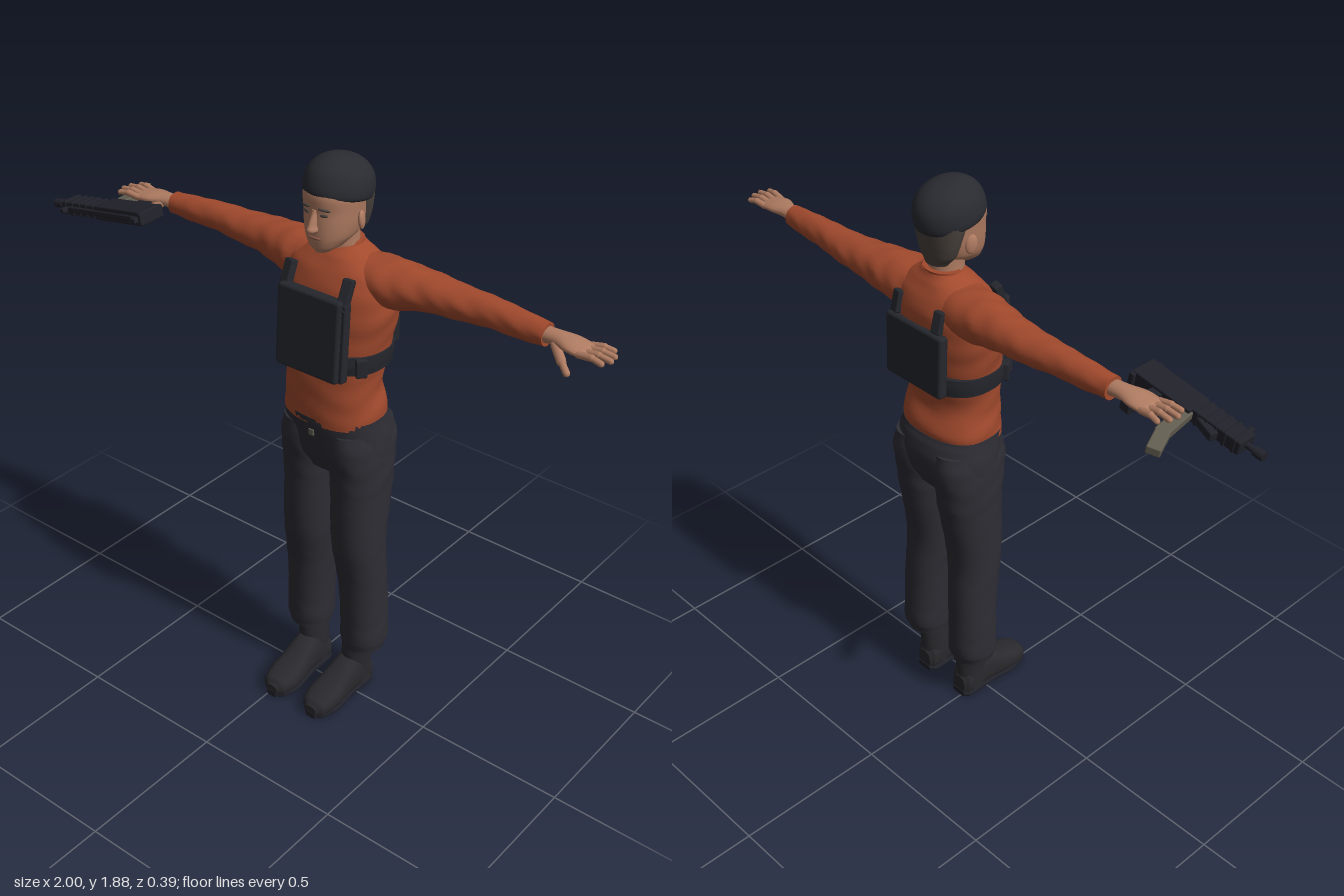
import * as THREE from 'three';
import { RoundedBoxGeometry } from 'three/addons/geometries/RoundedBoxGeometry.js';

const mat = (name, color) => Object.assign(new THREE.MeshStandardMaterial({ color }), { name });

// Smooth closed body through oval rings [t, c1, c2, r1, r2] along an axis.
function loft(axis, rings, { p = 2, n = 28, sub = 5, fold = 0 } = {}) {
  const pos = [], idx = [], rows = [];
  const at = (i) => rings[Math.max(0, Math.min(rings.length - 1, i))];
  for (let i = 0; i < rings.length - 1; i++)
    for (let k = 0; k < sub + (i === rings.length - 2 ? 1 : 0); k++) {
      const f = k / sub;
      rows.push(at(i).map((b, d) => {
        const a = at(i - 1)[d], c = at(i + 1)[d], e = at(i + 2)[d];
        if (d === 0) return b + (c - b) * f;
        return b + 0.5 * f * (c - a + f * (2 * a - 5 * b + 4 * c - e + f * (3 * (b - c) + e - a)));
      }));
    }
  const place = (t, u, v) => axis === 'y' ? [u, t, v] : axis === 'x' ? [t, u, v] : [u, v, t];
  const ringPoints = ([t, c1, c2, r1, r2]) => {
    for (let j = 0; j < n; j++) {
      const a = j / n * Math.PI * 2;
      let c = Math.cos(a), s = Math.sin(a);
      if (axis !== 'y') [c, s] = [s, c];
      const pw = (x) => Math.sign(x) * Math.abs(x) ** (2 / p);
      const w = 1 + fold * (Math.sin(t * 75 + 3 * Math.sin(a * 2)) + 0.6 * Math.sin(a * 5 + t * 31));
      pos.push(...place(t, c1 + r1 * pw(c) * w, c2 + r2 * pw(s) * w));
    }
  };
  const flip = rings[rings.length - 1][0] < rings[0][0];
  const tri = (a, b, c) => flip ? idx.push(a, c, b) : idx.push(a, b, c);
  rows.forEach(ringPoints);
  for (let i = 0; i < rows.length - 1; i++)
    for (let j = 0; j < n; j++) {
      const a = i * n + j, b = i * n + (j + 1) % n;
      tri(a, a + n, b);
      tri(b, a + n, b + n);
    }
  // end caps with their own vertices
  [rows[0], rows[rows.length - 1]].forEach((r, e) => {
    const base = pos.length / 3;
    ringPoints(r);
    pos.push(...place(r[0], r[1], r[2]));
    for (let j = 0; j < n; j++) {
      const a = base + j, b = base + (j + 1) % n;
      e ? tri(base + n, b, a) : tri(base + n, a, b);
    }
  });
  const g = new THREE.BufferGeometry();
  g.setAttribute('position', new THREE.Float32BufferAttribute(pos, 3));
  g.setIndex(idx);
  g.computeVertexNormals();
  return g;
}

export function createModel() {
  const skin = mat('skin', 0xb07c62), lip = mat('lip', 0x8a5546), hair = mat('hair', 0x4a423d);
  const shirt = mat('rustShirt', 0xa24a2d), trousers = mat('trouserCloth', 0x2d2d34);
  const vest = mat('vestFabric', 0x25272d), boot = mat('bootLeather', 0x2a2a2e);
  const wool = mat('capWool', 0x2a2b31), metal = mat('gunMetal', 0x21212a), olive = mat('olive', 0x625d50);

  const model = new THREE.Group();
  const body = new THREE.Group();
  body.name = 'body';
  body.position.x = 0.1;
  const gun = new THREE.Group();
  gun.name = 'gun';
  model.add(body, gun);
  const add = (parent, name, geo, m, p = [0, 0, 0], r = [0, 0, 0], s = [1, 1, 1]) => {
    const o = new THREE.Mesh(geo, m);
    o.name = name;
    o.position.set(...p);
    o.rotation.set(...r);
    o.scale.set(...s);
    parent.add(o);
    return o;
  };
  const rbox = (w, h, d, r = 0.005) => new RoundedBoxGeometry(w, h, d, 2, r);
  const ball = new THREE.SphereGeometry(1, 16, 12);
  const finger = (name, a, b, r) => {
    const A = new THREE.Vector3(...a), B = new THREE.Vector3(...b), d = B.clone().sub(A);
    const o = add(body, name, new THREE.CapsuleGeometry(r, d.length(), 4, 8), skin);
    o.position.copy(A).add(B).multiplyScalar(0.5);
    o.quaternion.setFromUnitVectors(new THREE.Vector3(0, 1, 0), d.normalize());
  };

  // Shirt and trouser seat
  add(body, 'torso', loft('y', [
    [1.055, 0, -0.027, 0.163, 0.122], [1.10, 0, -0.03, 0.163, 0.126], [1.17, 0, -0.018, 0.154, 0.114],
    [1.25, 0, -0.025, 0.161, 0.117], [1.35, 0, -0.035, 0.178, 0.122], [1.43, 0, -0.04, 0.193, 0.124],
    [1.50, 0, -0.047, 0.188, 0.118], [1.55, 0, -0.05, 0.165, 0.1], [1.59, 0, -0.052, 0.105, 0.076],
    [1.615, 0, -0.055, 0.064, 0.058]], { p: 2.3, n: 48, fold: 0.008 }), shirt);
  add(body, 'trouserSeat', loft('y', [
    [0.87, 0, -0.045, 0.165, 0.088], [0.93, 0, -0.045, 0.178, 0.118], [1.0, 0, -0.045, 0.176, 0.13],
    [1.05, 0, -0.036, 0.168, 0.13], [1.075, 0, -0.03, 0.165, 0.125]], { p: 2.3, n: 40 }), trousers);
  add(body, 'trouserButton', rbox(0.02, 0.022, 0.008, 0.003), olive, [0, 1.025, 0.091]);

  for (const s of [1, -1]) {
    // Arms
    add(body, 'sleeve', loft('x', [
      [0.08, 1.515, -0.06, 0.078, 0.09], [0.17, 1.52, -0.065, 0.076, 0.085], [0.22, 1.523, -0.07, 0.07, 0.077],
      [0.3, 1.527, -0.078, 0.058, 0.066], [0.4, 1.527, -0.08, 0.05, 0.058], [0.5, 1.53, -0.079, 0.045, 0.046],
      [0.6, 1.528, -0.075, 0.041, 0.041], [0.685, 1.527, -0.072, 0.035, 0.034]]
      .map(([t, ...r]) => [t * s, ...r]), { fold: 0.02 }), shirt);
    // Hands
    add(body, 'palm', loft('x', [
      [0.67, 1.527, -0.07, 0.024, 0.027], [0.72, 1.531, -0.068, 0.02, 0.03], [0.765, 1.53, -0.064, 0.018, 0.043],
      [0.81, 1.526, -0.062, 0.014, 0.043], [0.825, 1.526, -0.062, 0.008, 0.037]]
      .map(([t, ...r]) => [t * s, ...r]), { n: 18 }), skin);
    [0.868, 0.886, 0.89, 0.878].forEach((tip, i) => {
      const z = -0.096 + i * 0.0225, zt = -0.105 + i * 0.028, mid = (0.815 + tip) / 2;
      finger('finger', [s * 0.805, 1.526, z], [s * mid, 1.532, (z + zt) / 2], 0.0105);
      finger('fingertip', [s * mid, 1.532, (z + zt) / 2], [s * tip, 1.527, zt], 0.009);
    });
    finger('thumbBase', [s * 0.725, 1.521, -0.045], [s * 0.765, 1.497, -0.014], 0.014);
    finger('thumbTip', [s * 0.765, 1.497, -0.014], [s * 0.795, 1.481, 0.007], 0.01);

    // Legs
    add(body, 'trouserLeg', loft('y', [
      [0.18, 0.11, -0.05, 0.068, 0.07], [0.215, 0.111, -0.053, 0.075, 0.079], [0.3, 0.11, -0.052, 0.075, 0.079],
      [0.45, 0.105, -0.045, 0.077, 0.08], [0.6, 0.097, -0.03, 0.084, 0.087], [0.8, 0.093, -0.043, 0.087, 0.106],
      [0.88, 0.092, -0.045, 0.089, 0.115], [0.97, 0.09, -0.045, 0.086, 0.13], [1.03, 0.085, -0.042, 0.08, 0.122]]
      .map(([t, c, ...r]) => [t, c * s, ...r]), { p: 2.2, n: 32, fold: 0.01 }), trousers);
    // Boots
    add(body, 'bootShaft', loft('y', [
      [0.03, 0.09, -0.042, 0.046, 0.05], [0.12, 0.09, -0.04, 0.047, 0.054], [0.25, 0.1, -0.042, 0.052, 0.055]]
      .map(([t, c, ...r]) => [t, c * s, ...r])), boot);
    add(body, 'bootFoot', loft('z', [
      [-0.095, 0.088, 0.042, 0.027, 0.036], [-0.08, 0.088, 0.052, 0.042, 0.05], [-0.02, 0.088, 0.073, 0.046, 0.071],
      [0.03, 0.086, 0.066, 0.048, 0.064], [0.09, 0.084, 0.049, 0.054, 0.047], [0.14, 0.083, 0.04, 0.055, 0.037],
      [0.18, 0.083, 0.033, 0.042, 0.029], [0.196, 0.083, 0.028, 0.022, 0.017]]
      .map(([t, c, ...r]) => [t, c * s, ...r]), { p: 2.6 }), boot);
    add(body, 'bootSole', loft('z', [
      [-0.097, 0.088, 0.01, 0.028, 0.01], [-0.08, 0.088, 0.01, 0.043, 0.01], [0.02, 0.086, 0.01, 0.044, 0.01],
      [0.12, 0.083, 0.01, 0.056, 0.01], [0.175, 0.083, 0.01, 0.042, 0.01], [0.197, 0.083, 0.01, 0.018, 0.01]]
      .map(([t, c, ...r]) => [t, c * s, ...r]), { p: 4 }), metal);

    // Paired face parts
    add(body, 'ear', ball, skin, [s * 0.086, 1.707, -0.025], [0.15, s * 0.35, 0], [0.009, 0.03, 0.019]);
    add(body, 'eye', ball, hair, [s * 0.031, 1.737, 0.077], [0, s * 0.3, 0], [0.012, 0.005, 0.004]);
    add(body, 'brow', ball, hair, [s * 0.032, 1.754, 0.077], [0, s * 0.3, -s * 0.08], [0.019, 0.0045, 0.005]);

    // Paired vest parts
    add(body, 'frontStrap', rbox(0.034, 0.1, 0.026), vest, [s * 0.106, 1.51, 0.07], [-0.4, s * 0.2, 0]);
    add(body, 'panelEdge', rbox(0.014, 0.25, 0.03), vest, [s * 0.118, 1.365, 0.087], [-0.06, 0, 0]);
    add(body, 'backStrap', rbox(0.032, 0.07, 0.024), vest, [s * 0.088, 1.505, -0.158], [0.25, s * -0.15, 0]);
    add(body, 'beltBuckle', rbox(0.035, 0.06, 0.025), vest, [s * 0.152, 1.283, 0.05], [0, s * 0.85, 0]);
  }

  // Vest
  add(body, 'frontPanel', rbox(0.226, 0.262, 0.038, 0.01), vest, [0, 1.37, 0.098], [-0.06, 0, 0]);
  add(body, 'backPanel', rbox(0.24, 0.205, 0.034, 0.01), vest, [0, 1.365, -0.168], [0.04, 0, 0]);
  add(body, 'vestBelt', loft('y', [[1.253, 0, -0.032, 0.17, 0.132], [1.283, 0, -0.032, 0.174, 0.136],
    [1.313, 0, -0.033, 0.175, 0.134]], { p: 2.4, n: 48 }), vest);

  // Head
  add(body, 'neck', loft('y', [[1.54, 0, -0.05, 0.062, 0.058], [1.61, 0, -0.045, 0.054, 0.054],
    [1.69, 0, -0.04, 0.056, 0.06]]), skin);
  add(body, 'collar', loft('y', [[1.565, 0, -0.05, 0.085, 0.07], [1.6, 0, -0.054, 0.066, 0.058],
    [1.622, 0, -0.064, 0.06, 0.05]]), shirt);
  add(body, 'head', loft('y', [
    [1.613, 0, 0.038, 0.022, 0.028], [1.63, 0, 0.022, 0.046, 0.055], [1.66, 0, -0.003, 0.068, 0.086],
    [1.70, 0, -0.015, 0.079, 0.099], [1.74, 0, -0.02, 0.084, 0.102], [1.79, 0, -0.022, 0.087, 0.106],
    [1.84, 0, -0.022, 0.07, 0.085]], { p: 2.2, n: 36 }), skin);
  add(body, 'nose', loft('y', [[1.682, 0, 0.083, 0.011, 0.008], [1.69, 0, 0.086, 0.016, 0.024],
    [1.705, 0, 0.083, 0.012, 0.023], [1.75, 0, 0.076, 0.009, 0.01]], { n: 16 }), skin);
  add(body, 'mouth', ball, lip, [0, 1.664, 0.081], [0, 0, 0], [0.023, 0.005, 0.006]);
  add(body, 'hair', loft('y', [[1.64, 0, -0.078, 0.042, 0.032], [1.67, 0, -0.074, 0.066, 0.042],
    [1.71, 0, -0.071, 0.08, 0.051], [1.77, 0, -0.063, 0.09, 0.066]]), hair);
  const dome = new THREE.SplineCurve([[0.086, -0.004], [0.096, 0.004], [0.098, 0.03], [0.09, 0.066], [0.068, 0.095],
    [0.035, 0.113], [0, 0.118]].map((p) => new THREE.Vector2(...p))).getPoints(24);
  dome[24].x = 0;
  wool.side = THREE.DoubleSide;
  add(body, 'knitCap', new THREE.LatheGeometry(dome, 40), wool, [0, 1.766, -0.025], [-0.2, 0, 0], [1, 1, 1.16]);

  // Gun lying on its side, muzzle towards -x
  gun.position.set(-0.76, 1.495, 0.04);
  gun.rotation.z = 0.17;
  const block = (name, x, z, w, d, h = 0.04, m = metal, ry = 0) =>
    add(gun, name, rbox(w, h, d, 0.004), m, [x, 0, z], [0, ry, 0]);
  block('receiver', 0.083, 0.008, 0.205, 0.085, 0.046);
  block('handguard', -0.1, 0.014, 0.17, 0.066, 0.042);
  block('stockPlate', 0.178, 0.005, 0.018, 0.1, 0.04);
  block('topRail', 0.0, 0.05, 0.3, 0.012, 0.018);
  block('frontSight', -0.155, 0.062, 0.018, 0.028, 0.016);
  block('rearSight', 0.165, 0.058, 0.022, 0.026, 0.018);
  block('foregrip', -0.08, -0.025, 0.07, 0.026, 0.026, metal, -0.3);
  block('pistolGrip', 0.1, -0.085, 0.036, 0.12, 0.03, metal, -0.15);
  block('triggerGuard', 0.055, -0.046, 0.06, 0.012, 0.012);
  block('magazineTop', -0.012, -0.08, 0.042, 0.13, 0.026, olive, 0.15);
  block('magazineEnd', -0.038, -0.172, 0.042, 0.085, 0.026, olive, 0.42);
  for (let i = 0; i < 5; i++) block('handguardRib', -0.165 + i * 0.032, 0.014, 0.012, 0.072, 0.047);
  const tube = (name, x, r, l) =>
    add(gun, name, new THREE.CylinderGeometry(r, r, l, 16), metal, [x, 0, 0.015], [0, 0, Math.PI / 2]);
  tube('barrel', -0.205, 0.009, 0.07);
  tube('muzzle', -0.228, 0.014, 0.032);
  return model;
}
